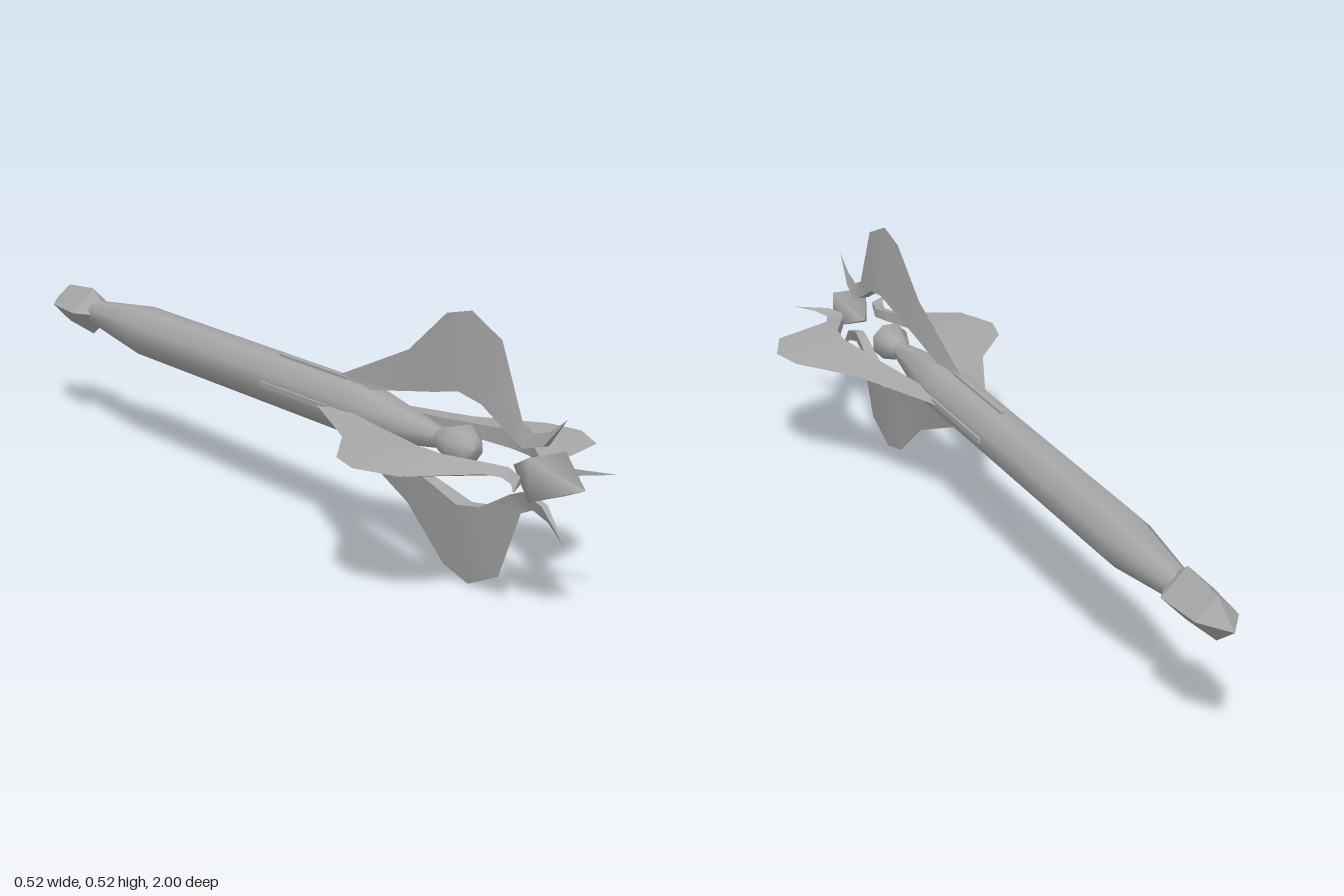
import * as THREE from 'three';

const AXIS_Y = 0.26;

// Turned part along z from [z, radius] pairs, ascending in z
function turned(name, profile, sides, phase, material, flat = false) {
  const points = profile.map(([z, r]) => new THREE.Vector2(r, z));
  let geo = new THREE.LatheGeometry(points, sides, phase);
  geo.rotateX(Math.PI / 2);
  if (flat) {
    geo = geo.toNonIndexed();
    geo.computeVertexNormals();
  }
  const mesh = new THREE.Mesh(geo, material);
  mesh.name = name;
  return mesh;
}

// Wedge blade: sharp outer edge, thick inner edge.
// Each station: outer z, outer radius, inner z, inner radius, half thickness
const STATIONS = [
  [0.0, 0.056, 0.0, 0.042, 0.006],
  [0.22, 0.056, 0.34, 0.048, 0.007],
  [0.455, 0.15, 0.47, 0.073, 0.01],
  [0.577, 0.242, 0.56, 0.09, 0.014],
  [0.656, 0.26, 0.64, 0.108, 0.018],
  [0.75, 0.222, 0.71, 0.097, 0.015],
  [0.815, 0.085, 0.795, 0.053, 0.011],
  [0.85, 0.071, 0.83, 0.04, 0.01],
  [0.895, 0.083, 0.885, 0.055, 0.007],
  [0.945, 0.116, 0.945, 0.116, 0],
];

function bladeGeometry() {
  const positions = [], index = [];
  const strip = (p, q) => {
    const base = positions.length / 3;
    p.forEach((v, i) => positions.push(...v, ...q[i]));
    for (let i = 0; i < p.length - 1; i++) {
      const a = base + i * 2;
      index.push(a, a + 2, a + 1, a + 2, a + 3, a + 1);
    }
  };
  const outer = STATIONS.map((s) => [0, s[1], s[0]]);
  const innerA = STATIONS.map((s) => [s[4], s[3], s[2]]);
  const innerB = STATIONS.map((s) => [-s[4], s[3], s[2]]);
  strip(outer, innerA);
  strip(innerB, outer);
  strip(innerA, innerB);
  const geo = new THREE.BufferGeometry();
  geo.setAttribute('position', new THREE.Float32BufferAttribute(positions, 3));
  geo.setIndex(index);
  geo.computeVertexNormals();
  return geo;
}

export function createModel() {
  const model = new THREE.Group();
  model.name = 'scepter';
  const grey = new THREE.MeshStandardMaterial({ color: 0xa8a8a8, side: THREE.DoubleSide });
  grey.name = 'grey metal';

  const body = new THREE.Group();
  body.name = 'body';
  body.position.y = AXIS_Y;
  model.add(body);

  // Eight-sided shaft, tapered at both ends
  body.add(turned('shaft', [
    [-0.8, 0.028], [-0.57, 0.055], [0.3, 0.055], [0.36, 0.05], [0.56, 0.02], [0.58, 0.02],
  ], 8, Math.PI / 8, grey));

  // Rounded knob at the front of the shaft
  body.add(turned('knob', [
    [0.56, 0.018], [0.585, 0.028], [0.635, 0.043], [0.665, 0.024], [0.672, 0],
  ], 8, Math.PI / 8, grey));

  // Four-sided pommel at the rear
  body.add(turned('pommel', [
    [-1, 0], [-0.935, 0.043], [-0.82, 0.053], [-0.78, 0.026],
  ], 4, 0, grey, true));

  // Floating crystal between the blade tips
  body.add(turned('crystal', [
    [0.79, 0], [0.89, 0.058], [1, 0],
  ], 4, Math.PI / 4, grey));

  // Four blades, each with a narrow ridge let into the shaft
  const blade = bladeGeometry();
  const ridge = new THREE.BoxGeometry(0.011, 0.016, 0.25);
  ridge.translate(0, 0.048, 0.125);
  for (let i = 0; i < 4; i++) {
    const arm = new THREE.Group();
    arm.name = 'bladeArm' + (i + 1);
    arm.rotation.z = (i * Math.PI) / 2;
    const bladeMesh = new THREE.Mesh(blade, grey);
    bladeMesh.name = 'blade';
    const ridgeMesh = new THREE.Mesh(ridge, grey);
    ridgeMesh.name = 'ridge';
    arm.add(bladeMesh, ridgeMesh);
    body.add(arm);
  }
  return model;
}
